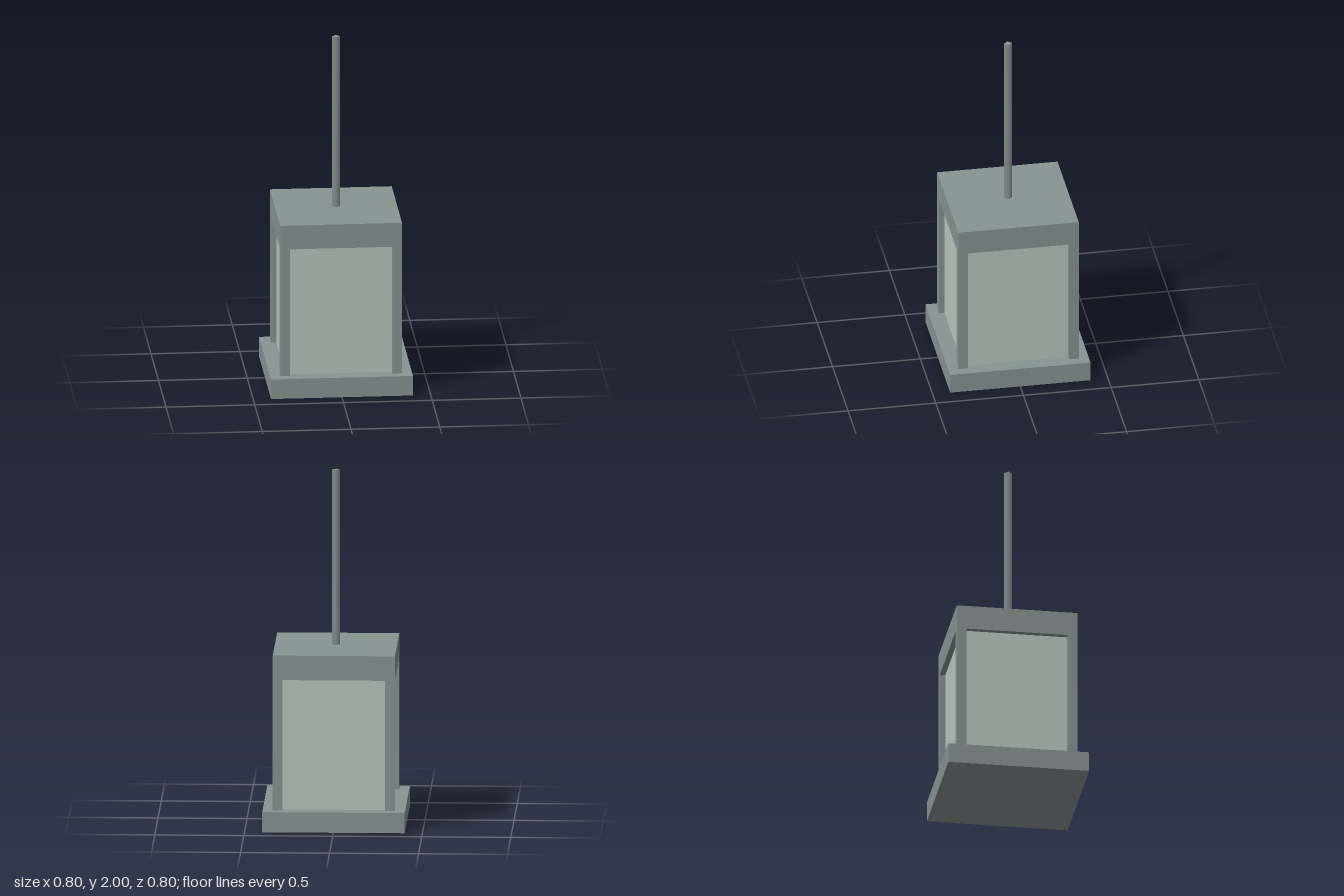
import * as THREE from 'three';

export function createModel() {
  const model = new THREE.Group();
  model.name = 'hangingLantern';

  const metal = new THREE.MeshStandardMaterial({ color: 0x889593 });
  metal.name = 'grey metal';
  const glass = new THREE.MeshStandardMaterial({ color: 0xbbc8c0 });
  glass.name = 'pale glass';

  const BASE_TOP = 0.115, CAP_BOTTOM = 0.86, CAP_TOP = 1;
  const HALF = 0.343, POST = 0.055;

  // Square block between two heights
  function block(name, width, y0, y1, material, x = 0, z = 0) {
    const mesh = new THREE.Mesh(new THREE.BoxGeometry(width, y1 - y0, width), material);
    mesh.name = name;
    mesh.position.set(x, (y0 + y1) / 2, z);
    model.add(mesh);
  }

  block('base', 0.8, 0, BASE_TOP, metal);
  block('cap', HALF * 2, CAP_BOTTOM, CAP_TOP, metal);

  // Glass body, set back behind the posts
  block('glassPanes', 0.624, BASE_TOP, CAP_BOTTOM, glass);

  // Corner posts
  const offset = HALF - POST / 2;
  for (const sx of [-1, 1]) {
    for (const sz of [-1, 1]) {
      block('cornerPost', POST, BASE_TOP, CAP_BOTTOM, metal, sx * offset, sz * offset);
    }
  }

  // Four-sided hanging rod, corners facing the axes
  const rod = new THREE.Mesh(new THREE.CylinderGeometry(0.023, 0.023, 2 - CAP_TOP, 4), metal);
  rod.name = 'hangingRod';
  rod.position.y = (CAP_TOP + 2) / 2;
  model.add(rod);

  return model;
}
